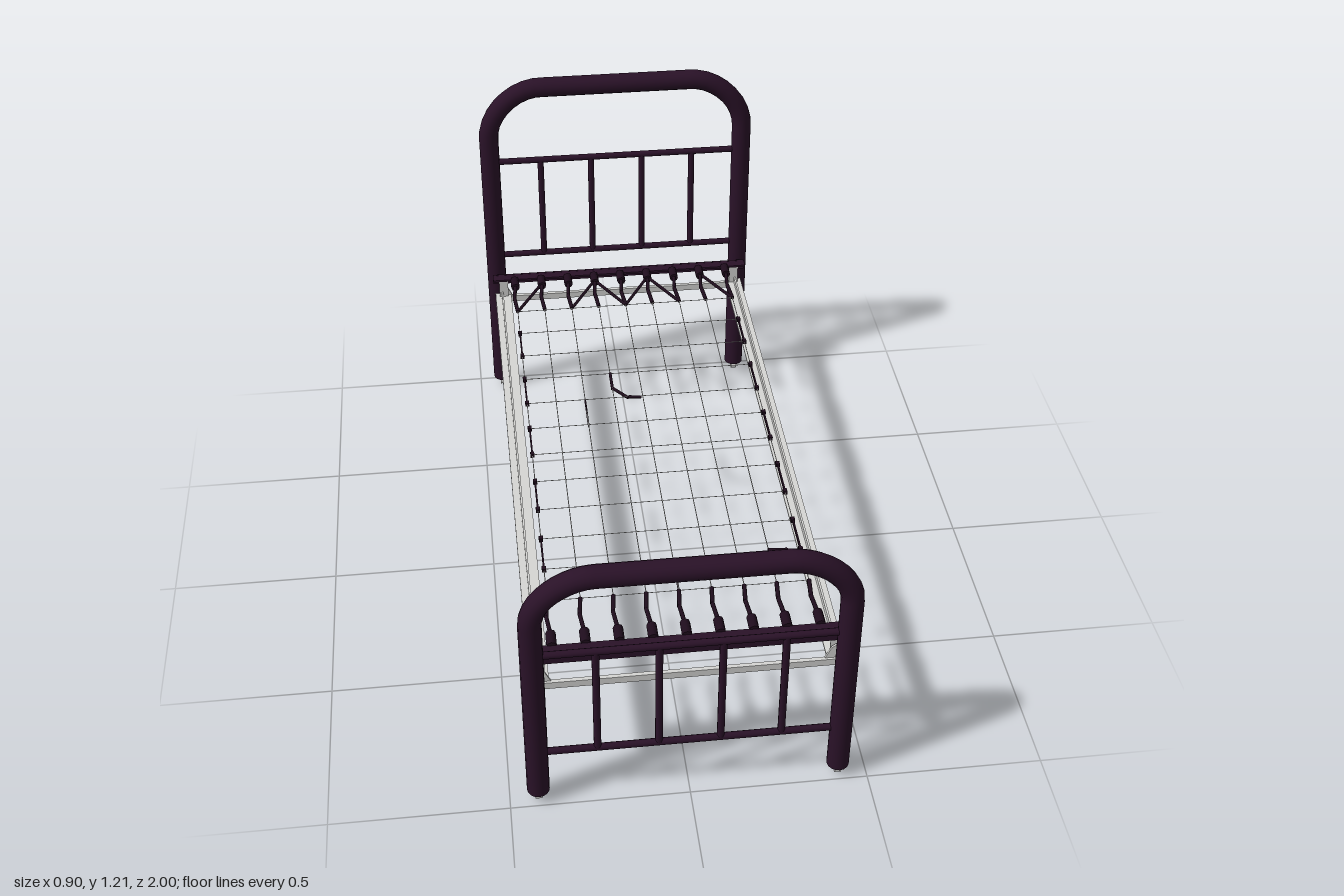
import * as THREE from 'three';

const paint = new THREE.MeshStandardMaterial({ color: 0x2a1228 });
paint.name = 'dark plum paint';
const springSteel = new THREE.MeshStandardMaterial({ color: 0x1f0d1d });
springSteel.name = 'dark spring steel';
const metal = new THREE.MeshStandardMaterial({ color: 0xd6d6d4, side: THREE.DoubleSide });
metal.name = 'pale metal';

const V = (x, y, z) => new THREE.Vector3(x, y, z);

function add(parent, name, geometry, material) {
  const mesh = new THREE.Mesh(geometry, material);
  mesh.name = name;
  parent.add(mesh);
  return mesh;
}

function box(parent, name, material, w, h, d, x, y, z) {
  const mesh = add(parent, name, new THREE.BoxGeometry(w, h, d), material);
  mesh.position.set(x, y, z);
  return mesh;
}

// Round bar between two points
function rod(parent, name, material, a, b, r, sides = 8) {
  const dir = b.clone().sub(a);
  const mesh = add(parent, name, new THREE.CylinderGeometry(r, r, dir.length(), sides), material);
  mesh.position.copy(a).add(b).multiplyScalar(0.5);
  mesh.quaternion.setFromUnitVectors(V(0, 1, 0), dir.normalize());
  return mesh;
}

// Head or foot end: bent tube, rails, spindles and casters
function bedEnd(name, z, bendY, topY, railLow, railHigh) {
  const end = new THREE.Group();
  end.name = name;
  const X = 0.42, flat = 0.25, k = 0.45;
  const dx = (X - flat) * k, dy = (topY - bendY) * k;
  const path = new THREE.CurvePath();
  path.add(new THREE.LineCurve3(V(-X, 0.035, 0), V(-X, bendY, 0)));
  path.add(new THREE.CubicBezierCurve3(V(-X, bendY, 0), V(-X, topY - dy, 0), V(-flat - dx, topY, 0), V(-flat, topY, 0)));
  path.add(new THREE.LineCurve3(V(-flat, topY, 0), V(flat, topY, 0)));
  path.add(new THREE.CubicBezierCurve3(V(flat, topY, 0), V(flat + dx, topY, 0), V(X, topY - dy, 0), V(X, bendY, 0)));
  path.add(new THREE.LineCurve3(V(X, bendY, 0), V(X, 0.035, 0)));
  add(end, 'bentTube', new THREE.TubeGeometry(path, 90, 0.0315, 16, false), paint);

  for (const y of new Set([railLow, railHigh, 0.547])) {
    rod(end, 'crossRail', paint, V(-X, y, 0), V(X, y, 0), 0.0105, 10);
  }
  for (const x of [-0.253, -0.085, 0.085, 0.253]) {
    rod(end, 'spindle', paint, V(x, railLow, 0), V(x, railHigh, 0), 0.0105, 10);
  }
  for (const x of [-X, X]) {
    rod(end, 'legCap', paint, V(x, 0.034, 0), V(x, 0.04, 0), 0.0313, 16);
    rod(end, 'casterStem', metal, V(x, 0.018, 0), V(x, 0.04, 0), 0.01);
    rod(end, 'casterWheel', metal, V(x - 0.009, 0.014, 0), V(x + 0.009, 0.014, 0), 0.014, 12);
  }
  end.position.z = z;
  return end;
}

// Side angle irons, cross bars and corner brackets
function steelFrame() {
  const frame = new THREE.Group();
  frame.name = 'steelFrame';
  for (const s of [-1, 1]) {
    box(frame, 'sideRail', metal, 0.028, 0.024, 1.87, s * 0.415, 0.397, 0);
    box(frame, 'sideRailLedge', metal, 0.03, 0.006, 1.84, s * 0.39, 0.409, 0);
    box(frame, 'sideRailFlange', metal, 0.006, 0.024, 1.82, s * 0.405, 0.419, 0);
    box(frame, 'endCrossBar', metal, 0.82, 0.022, 0.012, 0, 0.395, s * 0.925);
    for (const e of [-1, 1]) {
      const gusset = new THREE.Shape([[0.37, 0.407], [0.41, 0.407], [0.41, 0.46], [0.388, 0.445]]
        .map(([x, y]) => new THREE.Vector2(s * x, y)));
      const geo = new THREE.ExtrudeGeometry(gusset, { depth: 0.006, bevelEnabled: false });
      add(frame, 'cornerGusset', geo, metal).position.z = e * 0.922 - 0.003;
      box(frame, 'springBarPost', metal, 0.03, 0.075, 0.004, s * 0.4, 0.45, e * 0.912);
    }
  }
  return frame;
}

// Wire mesh with its springs
function bedSprings() {
  const springs = new THREE.Group();
  springs.name = 'bedSprings';
  const Y = 0.495, step = 0.0905, zHead = -0.69, zFoot = 0.71, rows = 11;
  const rowZ = i => zHead + (zFoot - zHead) * i / rows;
  const columns = Array.from({ length: 9 }, (_, i) => (i - 4) * step);

  for (const x of columns) {
    rod(springs, 'longWire', metal, V(x, Y, zHead), V(x, Y, zFoot), 0.0013, 4);
  }
  for (let i = 0; i <= rows; i++) {
    rod(springs, 'crossWire', metal, V(-4 * step, Y, rowZ(i)), V(4 * step, Y, rowZ(i)), 0.0013, 4);
  }

  // Edge links along alternate cells
  for (const x of [columns[0], columns[8]]) {
    for (let i = 1; i < rows; i += 2) {
      box(springs, 'edgeLink', springSteel, 0.005, 0.009, rowZ(i + 1) - rowZ(i), x, Y, (rowZ(i) + rowZ(i + 1)) / 2);
      for (const z of [rowZ(i), rowZ(i + 1)]) {
        box(springs, 'linkHook', springSteel, 0.012, 0.012, 0.014, x, Y, z);
      }
    }
  }

  // Anchor bars and tension springs at both ends
  for (const e of [-1, 1]) {
    box(springs, 'anchorBarTop', paint, 0.87, 0.007, 0.036, 0, 0.494, e * 0.9);
    box(springs, 'anchorBarFace', paint, 0.87, 0.034, 0.006, 0, 0.481, e * 0.915);
    const zMesh = e < 0 ? zHead : zFoot;
    columns.forEach((x, i) => {
      rod(springs, 'springHook', springSteel, V(x, Y, e * 0.835), V(x, Y, e * 0.885), 0.014, 8);
      const bend = V(x - 0.007, Y + 0.003, (zMesh + e * 0.84) / 2);
      rod(springs, 'tensionSpring', springSteel, V(x, Y, e * 0.84), bend, 0.0065, 6);
      rod(springs, 'tensionSpring', springSteel, bend, V(x, Y, zMesh), 0.0065, 6);
    });
  }

  // Slanting springs at the head
  for (const [from, to] of [[1, 0], [3, 2], [3, 4], [5, 4], [5, 6], [7, 8]]) {
    rod(springs, 'slantSpring', springSteel, V(columns[from], Y, -0.85), V(columns[to], Y, zHead), 0.0055, 6);
  }

  // Loose broken links
  const broken = [
    [[-0.09, -0.31], [-0.09, -0.23], [-0.045, -0.18], [-0.005, -0.18]],
    [[0.27, 0.575], [0.32, 0.575], [0.36, 0.63]],
    [[-0.181, -0.18], [-0.181, -0.05]],
    [[0, 0.65], [0, 0.71]],
  ];
  broken.forEach((pts, n) => {
    for (let i = 1; i < pts.length; i++) {
      const [a, b] = [pts[i - 1], pts[i]];
      rod(springs, 'looseLink', springSteel, V(a[0], Y, a[1]), V(b[0], Y - 0.004, b[1]), n < 2 ? 0.005 : 0.003, 6);
    }
  });
  return springs;
}

export function createModel() {
  const bed = new THREE.Group();
  bed.name = 'bed';
  bed.add(bedEnd('headboard', -0.968, 1.0, 1.176, 0.547, 0.91));
  bed.add(bedEnd('footboard', 0.968, 0.66, 0.811, 0.182, 0.547));
  bed.add(steelFrame(), bedSprings());
  return bed;
}
